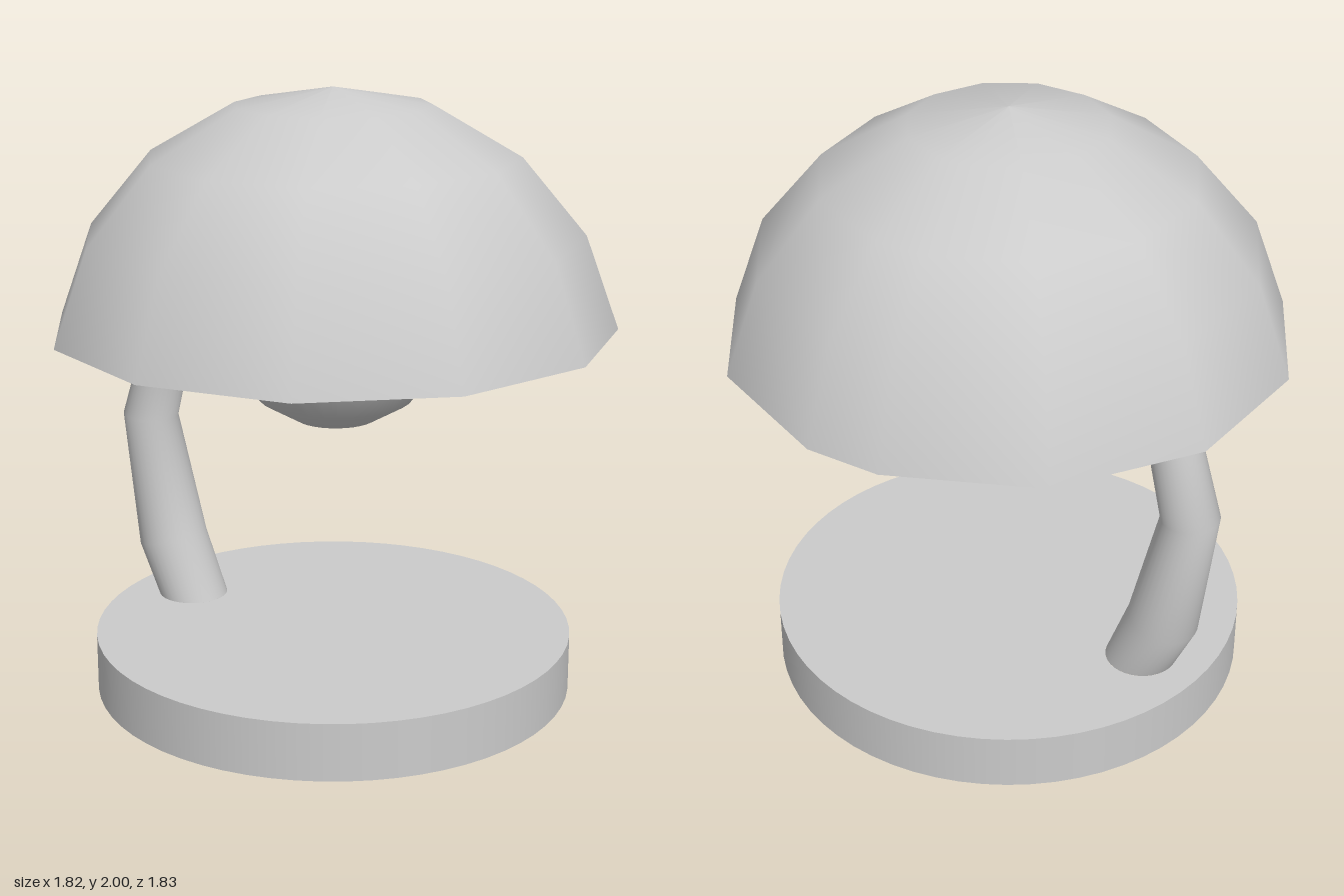
import * as THREE from 'three';

const material = new THREE.MeshStandardMaterial({ color: 0xcccccc, side: THREE.DoubleSide });
const rad = THREE.MathUtils.degToRad;

function add(parent, name, geometry, x = 0, y = 0, z = 0) {
  const mesh = new THREE.Mesh(geometry, material);
  mesh.name = name;
  mesh.position.set(x, y, z);
  parent.add(mesh);
  return mesh;
}

// Profile of a sphere, angles in degrees measured from the top
function arc(radius, from, to, step) {
  const points = [];
  for (let a = from; a <= to; a += step) {
    points.push(new THREE.Vector2(radius * Math.sin(rad(a)), radius * Math.cos(rad(a))));
  }
  return points;
}

// Tube through stations [x, y, radius] in the z = 0 plane; the first ring lies flat
function armGeometry(stations, sides) {
  const positions = [], index = [];
  stations.forEach(([x, y, r], i) => {
    const a = stations[Math.max(i - 1, 0)], b = stations[Math.min(i + 1, stations.length - 1)];
    const dir = new THREE.Vector2(b[0] - a[0], b[1] - a[1]).normalize();
    if (i === 0) dir.set(0, 1);
    for (let k = 0; k < sides; k++) {
      const t = (k / sides) * Math.PI * 2;
      positions.push(x + dir.y * r * Math.cos(t), y - dir.x * r * Math.cos(t), r * Math.sin(t));
      if (i > 0) {
        const n = (k + 1) % sides, lo = (i - 1) * sides, hi = i * sides;
        index.push(lo + k, hi + k, lo + n, lo + n, hi + k, hi + n);
      }
    }
  });
  const geometry = new THREE.BufferGeometry();
  geometry.setAttribute('position', new THREE.Float32BufferAttribute(positions, 3));
  geometry.setIndex(index);
  geometry.computeVertexNormals();
  return geometry;
}

export function createModel() {
  const model = new THREE.Group();
  model.name = 'mushroomLamp';

  // Hollow base: open wall and a top plate with a hole for the arm
  const base = new THREE.Group();
  base.name = 'base';
  model.add(base);
  add(base, 'baseWall', new THREE.CylinderGeometry(0.795, 0.795, 0.19, 64, 1, true), -0.01, 0.095, 0);
  const plate = new THREE.Shape().absarc(0, 0, 0.795, 0, Math.PI * 2);
  plate.holes.push(new THREE.Path().absarc(-0.573, 0, 0.118, 0, Math.PI * 2, true));
  add(base, 'basePlate', new THREE.ShapeGeometry(plate, 32), -0.01, 0.19, 0).rotation.x = -Math.PI / 2;

  // Bent, tapering arm
  add(model, 'arm', armGeometry([
    [-0.583, 0.19, 0.118], [-0.665, 0.385, 0.118], [-0.748, 0.82, 0.095],
    [-0.625, 1.24, 0.08], [-0.44, 1.64, 0.075], [-0.25, 1.81, 0.07], [-0.02, 1.9, 0.065],
  ], 32));

  // Shade: coarse dome with one narrow facet at the back, inner shell and flat rim
  const shade = new THREE.Group();
  shade.name = 'shade';
  shade.position.set(-0.01, 1.066, 0);
  model.add(shade);
  const outer = arc(0.934, 0, 80, 20).reverse();
  const inner = arc(0.872, 0, 80, 20);
  inner[4].y = outer[0].y;
  const profiles = { outerShell: outer, innerShell: inner, rim: [inner[4], outer[0]] };
  const step = (Math.PI * 2) / 11.5;
  for (const [name, points] of Object.entries(profiles)) {
    add(shade, name, new THREE.LatheGeometry(points, 11, Math.PI + step / 2, step * 11));
    add(shade, name + 'NarrowFacet', new THREE.LatheGeometry(points, 1, Math.PI, step / 2));
  }

  // Globe bulb with a flat underside
  const bulb = new THREE.Group();
  bulb.name = 'bulb';
  bulb.position.set(0, 1.286, 0);
  model.add(bulb);
  const globe = arc(0.39, 0, 160, 20).reverse();
  add(bulb, 'globe', new THREE.LatheGeometry(globe, 32));
  add(bulb, 'globeCap', new THREE.CircleGeometry(globe[0].x, 32), 0, globe[0].y, 0).rotation.x = Math.PI / 2;

  return model;
}
